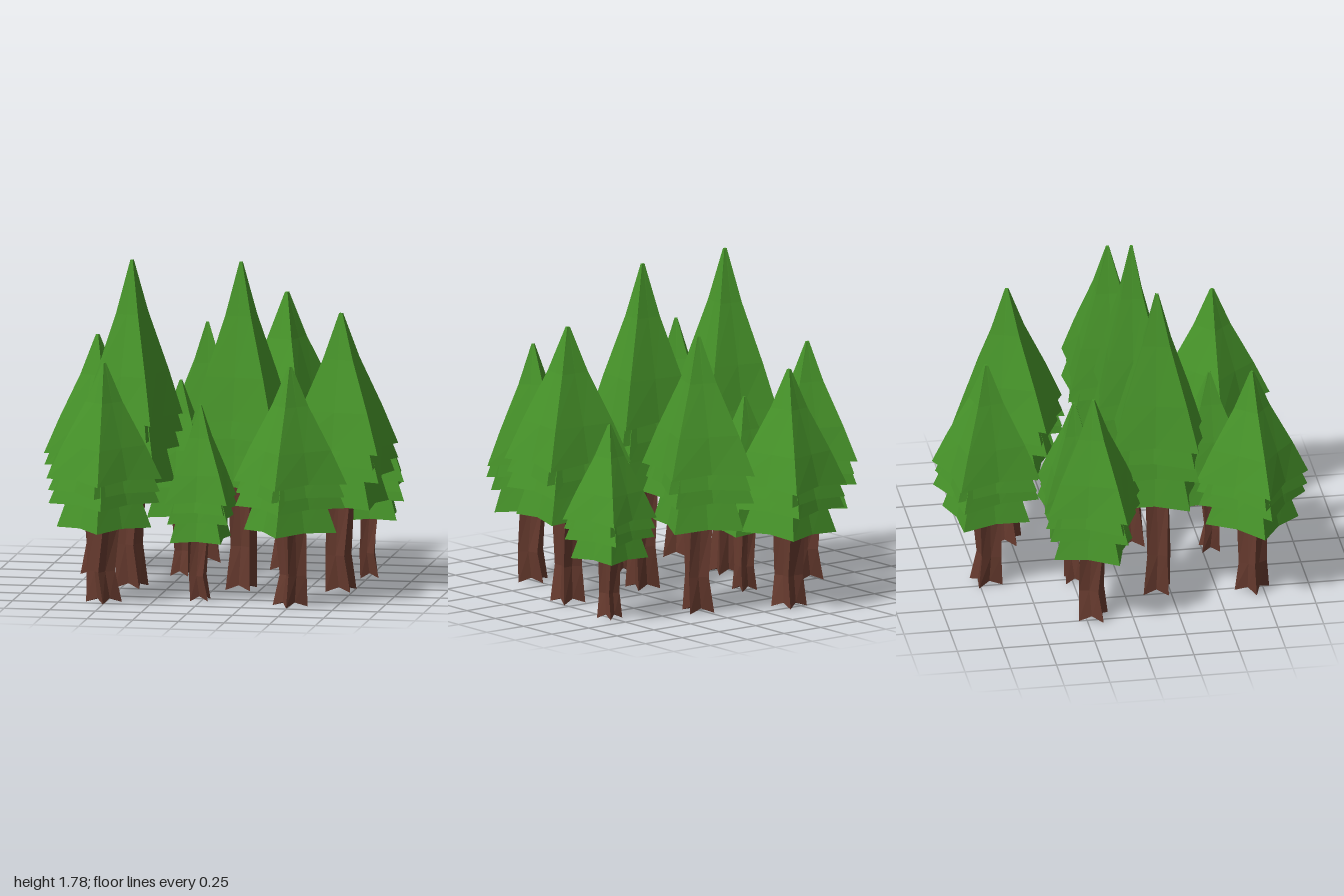
import * as THREE from 'three';

const leafMat = new THREE.MeshStandardMaterial({ color: 0x47942a, flatShading: true });
const barkMat = new THREE.MeshStandardMaterial({ color: 0x663a2e, flatShading: true });

// Lofts eight-point square rings from bottom to top and caps both ends.
// ring: y, sx, sz (half sizes), pinch (side midpoints), lift (midpoints raised), twist, dx, dz
function loft(rings) {
  const N = 8, pos = [], idx = [];
  for (const { y, sx, sz, pinch = 0.9, lift = 0, twist = 0, dx = 0, dz = 0 } of rings) {
    for (let i = 0; i < N; i++) {
      const a = (i / N) * Math.PI * 2;
      const mid = i % 2 === 0;
      const px = Math.sign(Math.round(Math.cos(a) * 10)) * sx * (mid ? pinch : 1);
      const pz = Math.sign(Math.round(Math.sin(a) * 10)) * sz * (mid ? pinch : 1);
      const c = Math.cos(twist), s = Math.sin(twist);
      pos.push(px * c - pz * s + dx, y + (mid ? lift : 0), px * s + pz * c + dz);
    }
  }
  for (let k = 0; k < rings.length - 1; k++) {
    for (let i = 0; i < N; i++) {
      const a = k * N + i, b = k * N + (i + 1) % N, c = a + N, d = b + N;
      idx.push(a, c, b, b, c, d);
    }
  }
  const first = rings[0], last = rings[rings.length - 1];
  const top = (rings.length - 1) * N, c0 = pos.length / 3;
  pos.push(first.dx ?? 0, first.y + (first.lift ?? 0), first.dz ?? 0);
  pos.push(last.dx ?? 0, last.y, last.dz ?? 0);
  for (let i = 0; i < N; i++) {
    const j = (i + 1) % N;
    idx.push(c0, i, j, c0 + 1, top + j, top + i);
  }
  const g = new THREE.BufferGeometry();
  g.setAttribute('position', new THREE.Float32BufferAttribute(pos, 3));
  g.setIndex(idx);
  const flat = g.toNonIndexed();
  flat.computeVertexNormals();
  return flat;
}

// Skirts below the crown: bottom height, spread, twist
const skirts = [
  { y: 0.47, r: 0.97, twist: 0.07 },
  { y: 0.42, r: 0.96, twist: -0.05 },
  { y: 0.32, r: 0.82, twist: 0.04 },
];

function makeTree({ x, z, h, sx, sz, turn }, n) {
  const tree = new THREE.Group();
  tree.name = 'tree' + (n + 1);
  const add = (name, geometry, material) => {
    const mesh = new THREE.Mesh(geometry, material);
    mesh.name = name;
    tree.add(mesh);
  };
  const ring = (y, r, extra) => ({ y: y * h, sx: sx * r, sz: sz * r, ...extra });

  // Pointed crown with a slightly blunt tip
  add('crown', loft([
    ring(0.52, 1, { lift: 0.012 * h }),
    ring(0.66, 0.72, { pinch: 0.95 }),
    ring(0.84, 0.32, { pinch: 0.97 }),
    ring(1, 0.035),
  ]), leafMat);

  // Overlapping lower skirts
  skirts.forEach(({ y, r, twist }, i) => add('skirt' + (i + 1), loft([
    ring(y, r, { lift: 0.008 * h, twist }),
    ring(y + 0.15, r * 0.72, { twist }),
  ]), leafMat));

  // Ribbed trunk with splayed feet and a small kink
  const w = h < 1.2 ? 0.044 : 0.062;
  const kink = n % 2 ? 0.012 : -0.012;
  add('trunk', loft([
    { y: 0.015, sx: w * 1.1, sz: w * 1.1, pinch: 0.7, lift: 0.025 },
    { y: 0.14 * h, sx: w * 0.88, sz: w * 0.88, pinch: 0.75, twist: 0.12, dx: kink, dz: -kink },
    { y: 0.36 * h, sx: w, sz: w, pinch: 0.8, twist: -0.05 },
  ]), barkMat);

  tree.position.set(x, 0, z);
  tree.rotation.y = turn;
  return tree;
}

export function createModel() {
  const model = new THREE.Group();
  model.name = 'forest';
  const trees = [
    // Tallest
    { x: -0.45, z: 0.18, h: 1.8, sx: 0.2, sz: 0.235, turn: -0.2 },
    { x: 0.14, z: 0.14, h: 1.8, sx: 0.225, sz: 0.19, turn: -0.1 },
    // Broad
    { x: 0.68, z: 0.1, h: 1.53, sx: 0.26, sz: 0.225, turn: -0.07 },
    { x: 0.27, z: -0.52, h: 1.53, sx: 0.235, sz: 0.26, turn: -0.34 },
    // Medium
    { x: -0.2, z: -0.71, h: 1.32, sx: 0.21, sz: 0.23, turn: 0.22 },
    { x: -0.71, z: -0.21, h: 1.32, sx: 0.21, sz: 0.22, turn: -0.32 },
    { x: -0.51, z: 0.69, h: 1.32, sx: 0.21, sz: 0.23, turn: -0.67 },
    { x: 0.5, z: 0.64, h: 1.32, sx: 0.21, sz: 0.23, turn: -0.83 },
    // Small
    { x: -0.01, z: 0.54, h: 1.08, sx: 0.17, sz: 0.185, turn: 0.04 },
    { x: -0.26, z: -0.24, h: 1.08, sx: 0.185, sz: 0.175, turn: -0.03 },
    { x: 0.75, z: -0.36, h: 1.08, sx: 0.18, sz: 0.18, turn: 0.22 },
  ];
  trees.forEach((t, n) => model.add(makeTree(t, n)));
  return model;
}
